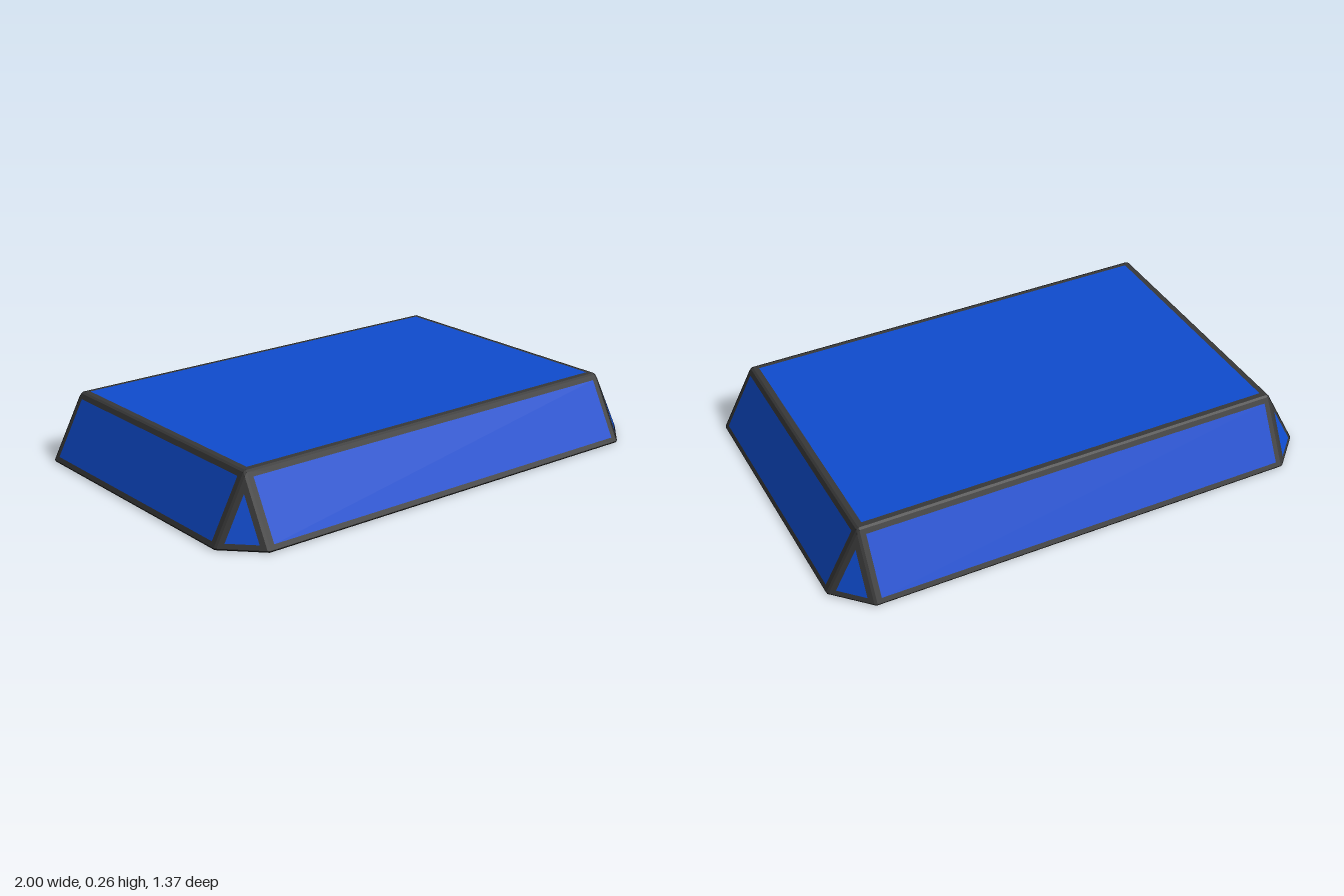
import * as THREE from 'three';
import { ConvexGeometry } from 'three/addons/geometries/ConvexGeometry.js';

const H = 0.262, LIFT = 0.0015, BEVEL = 0.006, BORDER = 0.026;
const X = 1.005, Z = 0.686, IX = 0.868, IZ = 0.547; // outer and inner half sizes
const v = (x, y, z) => new THREE.Vector3(x, y, z);

// Pull every side of a convex polygon inwards by d, within its own plane
function inset(poly, d) {
  return poly.map((p, i) => {
    const a = poly.at(i - 1).clone().sub(p).normalize();
    const b = poly[(i + 1) % poly.length].clone().sub(p).normalize();
    const s = Math.sin(a.angleTo(b));
    return a.add(b).multiplyScalar(d / s).add(p);
  });
}

// Flat polygon facing away from the middle of the body, lifted slightly off the frame
function panelGeometry(poly) {
  const normal = poly[1].clone().sub(poly[0]).cross(poly[2].clone().sub(poly[0])).normalize();
  let pts = poly;
  if (normal.dot(poly[0].clone().sub(v(0, H / 2, 0))) < 0) {
    normal.negate();
    pts = [...poly].reverse();
  }
  pts = pts.map(p => p.clone().addScaledVector(normal, LIFT));
  const tris = [];
  for (let i = 1; i < pts.length - 1; i++) tris.push(pts[0], pts[i], pts[i + 1]);
  const geometry = new THREE.BufferGeometry().setFromPoints(tris);
  geometry.computeVertexNormals();
  return geometry;
}

export function createModel() {
  const group = new THREE.Group();
  group.name = 'bevelledSlab';
  const dark = new THREE.MeshStandardMaterial({ color: 0x383838 });
  const blue = new THREE.MeshStandardMaterial({ color: 0x0f4ccf });
  const y0 = LIFT, y1 = H - LIFT;

  // Top and octagonal base
  const faces = [
    { name: 'topPanel', border: BORDER, poly: [v(-IX, y1, -IZ), v(IX, y1, -IZ), v(IX, y1, IZ), v(-IX, y1, IZ)] },
    { name: 'basePanel', border: 0.016, poly: [
      v(-IX, y0, -Z), v(IX, y0, -Z), v(X, y0, -IZ), v(X, y0, IZ),
      v(IX, y0, Z), v(-IX, y0, Z), v(-X, y0, IZ), v(-X, y0, -IZ)] },
  ];
  for (const s of [1, -1]) {
    // Sloping long and short sides
    faces.push({ name: s > 0 ? 'frontPanel' : 'backPanel', border: BORDER, poly: [
      v(-IX, y0, s * Z), v(IX, y0, s * Z), v(IX, y1, s * IZ), v(-IX, y1, s * IZ)] });
    faces.push({ name: s > 0 ? 'leftPanel' : 'rightPanel', border: BORDER, poly: [
      v(s * X, y0, -IZ), v(s * X, y0, IZ), v(s * IX, y1, IZ), v(s * IX, y1, -IZ)] });
    // Triangular corners
    for (const t of [1, -1]) {
      faces.push({ name: (t > 0 ? 'front' : 'back') + (s > 0 ? 'Left' : 'Right') + 'CornerPanel', border: BORDER, poly: [
        v(s * X, y0, t * IZ), v(s * IX, y0, t * Z), v(s * IX, y1, t * IZ)] });
    }
  }

  // Dark body with narrow bevels along its edges
  const frame = new THREE.Mesh(new ConvexGeometry(faces.flatMap(f => inset(f.poly, BEVEL))), dark);
  frame.name = 'frame';
  group.add(frame);

  // Blue panel on every face
  for (const f of faces) {
    const panel = new THREE.Mesh(panelGeometry(inset(f.poly, f.border)), blue);
    panel.name = f.name;
    group.add(panel);
  }
  return group;
}
